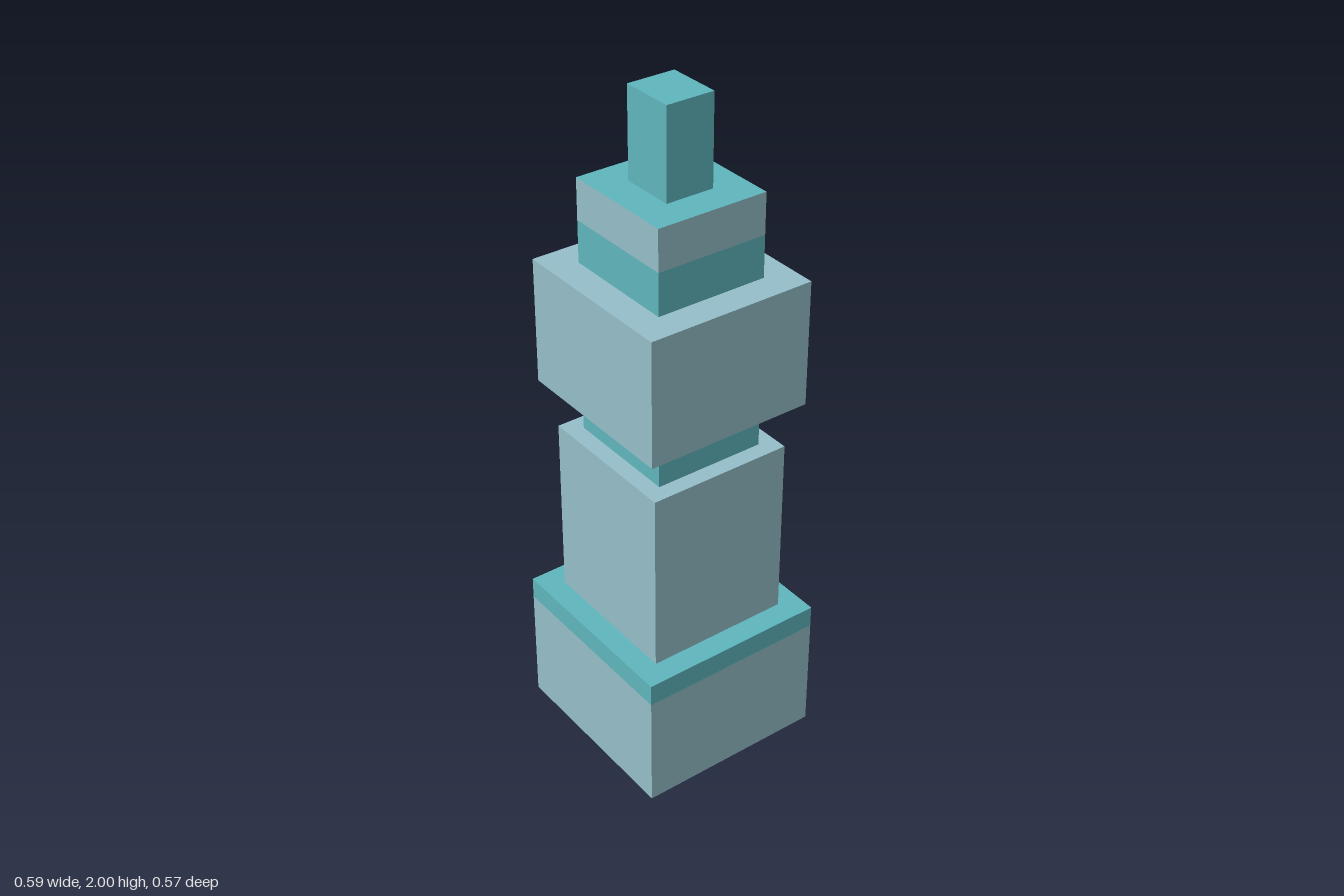
import * as THREE from 'three';

export function createModel() {
  const model = new THREE.Group();
  model.name = 'steppedTower';

  const teal = new THREE.MeshStandardMaterial({ color: 0x5fb6bd });
  teal.name = 'teal';
  const grey = new THREE.MeshStandardMaterial({ color: 0x95bfc9 });
  grey.name = 'paleBlueGrey';

  // Box between two heights; material order is +x, -x, top, bottom, front, back
  function tier(name, width, depth, bottom, top, material) {
    const mesh = new THREE.Mesh(new THREE.BoxGeometry(width, top - bottom, depth), material);
    mesh.position.y = (bottom + top) / 2;
    mesh.name = name;
    model.add(mesh);
  }

  // Base: pale on three sides, teal at the back and along the rim
  tier('base', 0.591, 0.572, 0.001, 0.357, [grey, grey, teal, teal, grey, teal]);
  tier('baseRim', 0.591, 0.572, 0.357, 0.423, teal);

  // Pale patch under the front left quarter of the base, with a rounded inner corner
  const patch = new THREE.Shape();
  patch.moveTo(0.295, 0.286);
  patch.lineTo(-0.02, 0.286);
  patch.lineTo(-0.02, 0.07);
  patch.quadraticCurveTo(-0.02, 0, 0.045, -0.01);
  patch.lineTo(0.295, -0.01);
  const underside = new THREE.Mesh(new THREE.ShapeGeometry(patch), grey);
  underside.rotation.x = Math.PI / 2;
  underside.name = 'undersidePatch';
  model.add(underside);

  // Shaft, neck and wide head
  tier('shaft', 0.452, 0.438, 0.423, 0.975, grey);
  tier('neck', 0.352, 0.336, 0.975, 1.118, teal);
  tier('head', 0.527, 0.508, 1.118, 1.493, [grey, grey, grey, teal, grey, grey]);

  // Two-tone cap and spire
  tier('capBand', 0.352, 0.336, 1.493, 1.617, teal);
  tier('cap', 0.352, 0.336, 1.617, 1.738, [grey, grey, teal, teal, grey, grey]);
  tier('spire', 0.163, 0.145, 1.738, 2, teal);

  return model;
}
